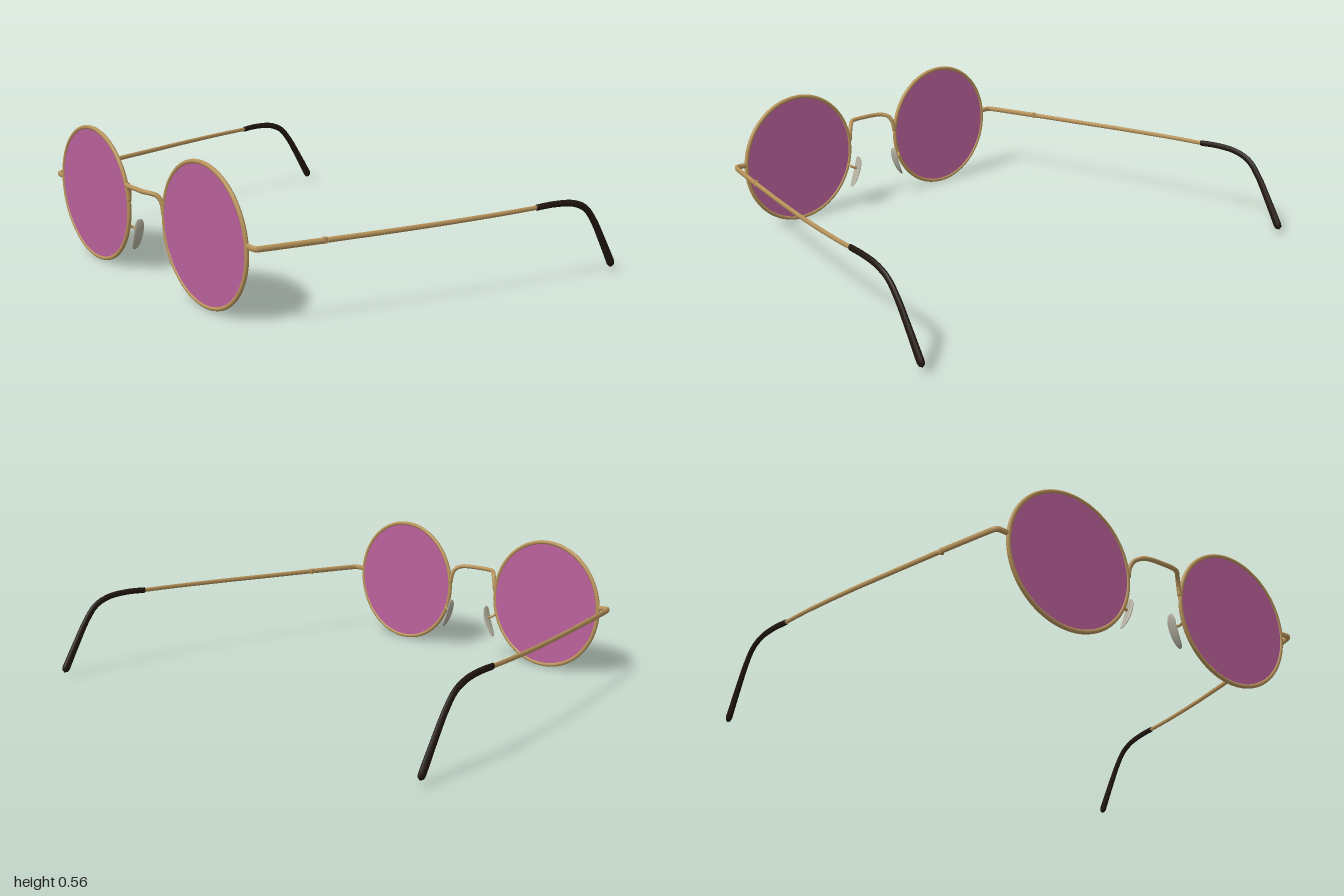
import * as THREE from 'three';
import { mergeVertices } from 'three/addons/utils/BufferGeometryUtils.js';

const gold = new THREE.MeshStandardMaterial({ color: 0xb8935a });
const dark = new THREE.MeshStandardMaterial({ color: 0x21160f });
const pink = new THREE.MeshStandardMaterial({ color: 0xb9609a });
const padGrey = new THREE.MeshStandardMaterial({ color: 0xb4b0a0 });

// Smooth closed surface from a geometry with seams
function weld(geo) {
  geo.deleteAttribute('uv');
  geo.deleteAttribute('normal');
  const g = mergeVertices(geo, 1e-5);
  g.computeVertexNormals();
  return g;
}

// Tube along points: radius(t) sets its thickness, squash flattens the section, ends are closed
function sweep(points, radius, squash = [1, 1, 1], segments = 60, sides = 12) {
  const curve = new THREE.CatmullRomCurve3(points.map(p => new THREE.Vector3(...p)));
  const geo = new THREE.TubeGeometry(curve, segments, 1, sides);
  const pos = geo.attributes.position;
  const scale = new THREE.Vector3(...squash);
  const v = new THREE.Vector3();
  for (let i = 0; i <= segments; i++) {
    const t = i / segments;
    const centre = curve.getPointAt(t);
    const end = i === 0 || i === segments;
    for (let j = 0; j <= sides; j++) {
      const k = i * (sides + 1) + j;
      v.fromBufferAttribute(pos, k).sub(centre).multiply(scale);
      v.multiplyScalar(end ? 0 : radius(t)).add(centre);
      pos.setXYZ(k, v.x, v.y, v.z);
    }
  }
  return weld(geo);
}

// Nose pad: a flattened, squarish ellipsoid bent outwards towards the bottom
function nosePad(s) {
  const geo = new THREE.SphereGeometry(1, 24, 20);
  const pos = geo.attributes.position;
  const soft = a => Math.sign(a) * Math.pow(Math.abs(a), 0.75);
  for (let i = 0; i < pos.count; i++) {
    const dy = 0.067 * soft(pos.getY(i));
    const width = 0.021 + 0.05 * dy;
    const bend = 0.112 - 0.34 * dy + 2.4 * dy * dy;
    pos.setXYZ(i, s * bend + 0.006 * pos.getX(i), 0.165 + dy, 0.725 + width * soft(pos.getZ(i)));
  }
  return weld(geo);
}

export function createModel() {
  const model = new THREE.Group();
  const add = (parent, name, geo, mat) => {
    const mesh = new THREE.Mesh(geo, mat);
    mesh.name = name;
    parent.add(mesh);
    return mesh;
  };

  for (const s of [1, -1]) {
    const side = s > 0 ? 'left' : 'right';
    const flip = pts => pts.map(([x, y, z]) => [s * x, y, z]);

    // Rim and lens, leaning slightly forward at the top
    const eye = new THREE.Group();
    eye.name = side + 'Eye';
    eye.position.set(s * 0.4, 0.282, 0.752);
    eye.rotation.x = 0.027;
    model.add(eye);
    add(eye, side + 'Rim', new THREE.TorusGeometry(0.27, 0.0085, 12, 96), gold);
    const lens = new THREE.CylinderGeometry(0.269, 0.269, 0.008, 96);
    add(eye, side + 'Lens', lens.rotateX(Math.PI / 2), pink);

    // Nose pad on its bent wire
    add(model, side + 'NosePad', nosePad(s), padGrey);
    add(model, side + 'PadArm', sweep(flip([
      [0.142, 0.2, 0.748], [0.138, 0.192, 0.733], [0.128, 0.186, 0.726], [0.113, 0.18, 0.725],
    ]), () => 0.0055, [1, 1, 1], 20, 8), gold);

    // End piece turning the corner back to the hinge
    add(model, side + 'EndPiece', sweep(flip([
      [0.67, 0.303, 0.752], [0.71, 0.304, 0.752], [0.72, 0.304, 0.749], [0.725, 0.304, 0.74],
      [0.757, 0.306, 0.62], [0.787, 0.308, 0.5],
    ]), () => 0.0115, [0.65, 1, 0.65], 80), gold);
    const hinge = add(model, side + 'Hinge', new THREE.CylinderGeometry(0.009, 0.009, 0.022, 16), gold);
    hinge.position.set(s * 0.784, 0.308, 0.5);

    // Temple arm
    add(model, side + 'Temple', sweep(flip([
      [0.785, 0.308, 0.505], [0.845, 0.312, 0.25], [0.9, 0.317, 0], [0.945, 0.322, -0.25], [0.967, 0.325, -0.42],
    ]), t => 0.0105 - 0.0015 * t, [0.7, 1, 0.7]), gold);

    // Dark ear tip, hooked down and thickening to its end
    add(model, side + 'EarTip', sweep(flip([
      [0.96, 0.324, -0.365], [0.975, 0.327, -0.46], [0.985, 0.318, -0.55], [0.989, 0.29, -0.615],
      [0.99, 0.235, -0.665], [0.99, 0.14, -0.725], [0.99, 0.025, -0.793],
    ]), t => (0.0125 + 0.006 * t * t) * Math.min(1, 0.55 + 14 * (1 - t)), [0.68, 1, 1], 80), dark);
  }

  // Bridge arching up and forward between the rims
  const half = [[0.128, 0.3, 0.752], [0.121, 0.345, 0.755], [0.108, 0.372, 0.766], [0.085, 0.382, 0.787], [0.055, 0.383, 0.797]];
  const bridge = [...half, [0, 0.384, 0.798], ...half.map(([x, y, z]) => [-x, y, z]).reverse()];
  add(model, 'bridge', sweep(bridge, () => 0.009, [1, 1, 1], 80), gold);

  return model;
}
